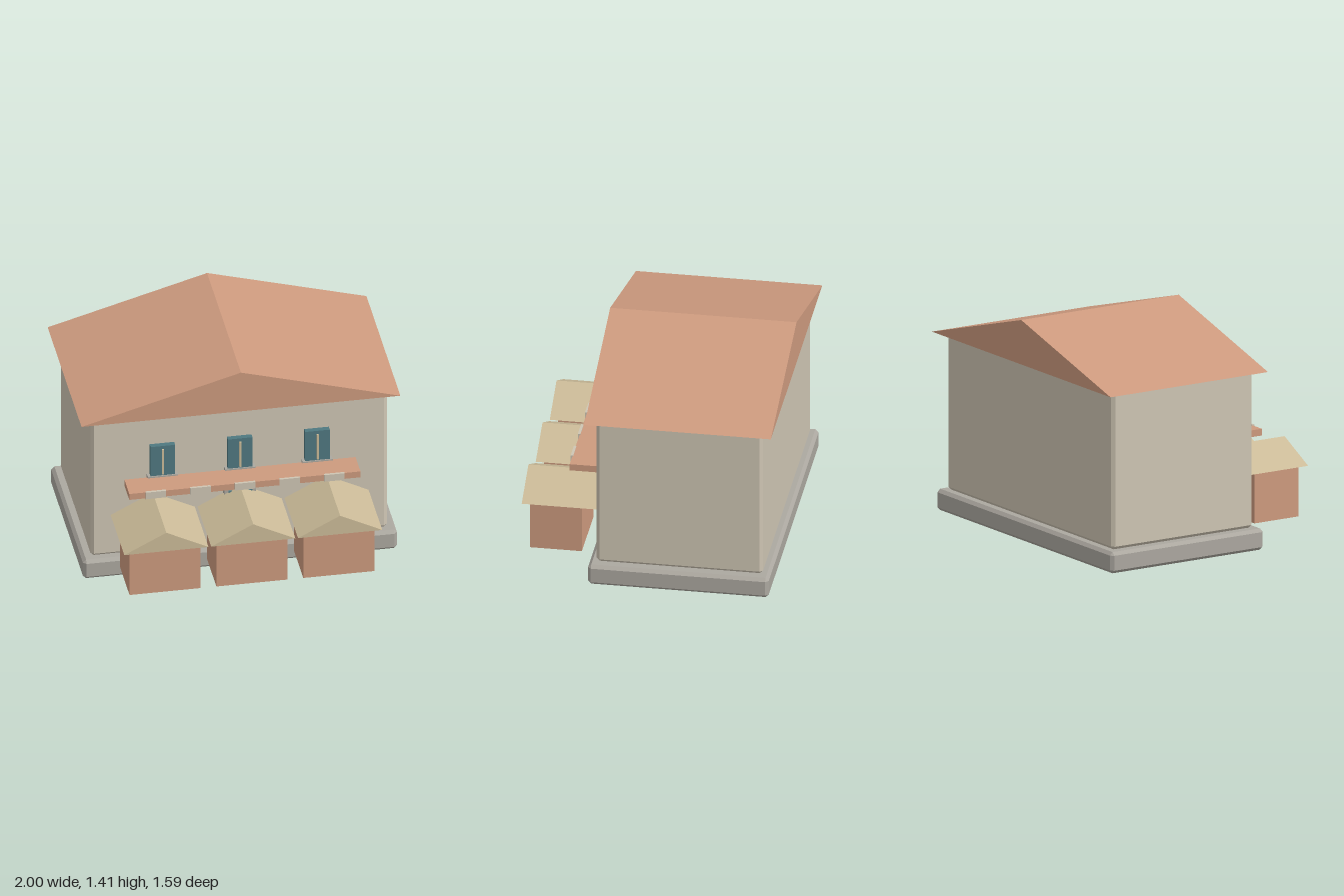
import * as THREE from 'three';
import { ConvexGeometry } from 'three/addons/geometries/ConvexGeometry.js';

const material = (name, color) => {
  const m = new THREE.MeshStandardMaterial({ color });
  m.name = name;
  return m;
};

// Box given by its low and high corner
function block(parent, name, mat, [x0, y0, z0], [x1, y1, z1]) {
  const mesh = new THREE.Mesh(new THREE.BoxGeometry(x1 - x0, y1 - y0, z1 - z0), mat);
  mesh.position.set((x0 + x1) / 2, (y0 + y1) / 2, (z0 + z1) / 2);
  mesh.name = name;
  parent.add(mesh);
  return mesh;
}

// Box with every edge cut at 45 degrees
function chamferedBlock(parent, name, mat, [x0, y0, z0], [x1, y1, z1], c) {
  const half = [(x1 - x0) / 2, (y1 - y0) / 2, (z1 - z0) / 2];
  const points = [];
  for (const sx of [-1, 1]) for (const sy of [-1, 1]) for (const sz of [-1, 1])
    for (let axis = 0; axis < 3; axis++) {
      const p = half.map((h, i) => (i === axis ? h : h - c));
      points.push(new THREE.Vector3(sx * p[0], sy * p[1], sz * p[2]));
    }
  const mesh = new THREE.Mesh(new ConvexGeometry(points), mat);
  mesh.position.set((x0 + x1) / 2, (y0 + y1) / 2, (z0 + z1) / 2);
  mesh.name = name;
  parent.add(mesh);
}

// Triangular prism with its ridge along z
function gableRoof(parent, name, mat, halfWidth, y0, y1, z0, z1) {
  const shape = new THREE.Shape();
  shape.moveTo(-halfWidth, y0);
  shape.lineTo(halfWidth, y0);
  shape.lineTo(0, y1);
  shape.closePath();
  const geo = new THREE.ExtrudeGeometry(shape, { depth: z1 - z0, bevelEnabled: false });
  geo.translate(0, 0, z0);
  const mesh = new THREE.Mesh(geo, mat);
  mesh.name = name;
  parent.add(mesh);
}

export function createModel() {
  const model = new THREE.Group();
  model.name = 'house';

  const plaster = material('plaster', 0xcec5b3);
  const stone = material('stone', 0xaca8a0);
  const terracotta = material('terracotta', 0xcd9a7e);
  const teal = material('teal', 0x4f7880);
  const straw = material('straw', 0xcbbb98);

  // Main building
  chamferedBlock(model, 'foundation', stone, [-0.985, 0, -0.775], [0.985, 0.135, 0.355], 0.02);
  chamferedBlock(model, 'walls', plaster, [-0.93, 0.135, -0.73], [0.93, 1.133, 0.31], 0.02);
  gableRoof(model, 'mainRoof', terracotta, 1, 1.132, 1.415, -0.793, 0.372);

  // Door with its surround and step
  const door = new THREE.Group();
  door.name = 'door';
  block(door, 'doorFrame', stone, [-0.1, 0.12, 0.3], [0.1, 0.585, 0.348]);
  block(door, 'doorPanel', teal, [-0.075, 0.165, 0.34], [0.075, 0.545, 0.357]);
  block(door, 'doorStep', stone, [-0.14, 0.085, 0.33], [0.14, 0.136, 0.447]);
  model.add(door);

  // Upper windows
  for (const x of [-0.485, 0, 0.485]) {
    const win = new THREE.Group();
    win.name = 'window';
    win.position.x = x;
    block(win, 'shutters', teal, [-0.077, 0.695, 0.3], [0.077, 0.917, 0.345]);
    block(win, 'mullion', straw, [-0.006, 0.715, 0.34], [0.006, 0.895, 0.356]);
    block(win, 'sill', stone, [-0.095, 0.678, 0.3], [0.095, 0.704, 0.352]);
    model.add(win);
  }

  // Long ledge with pale panels along its front
  block(model, 'ledge', terracotta, [-0.725, 0.652, 0.34], [0.725, 0.695, 0.508]);
  for (let i = -2; i <= 2; i++) {
    const x = i * 0.28;
    block(model, 'ledgePanel', plaster, [x - 0.064, 0.652, 0.503], [x + 0.064, 0.7, 0.519]);
  }

  // Three stalls in front
  for (const x of [-0.545, 0, 0.545]) {
    const stall = new THREE.Group();
    stall.name = 'stall';
    stall.position.x = x;
    block(stall, 'stallBody', terracotta, [-0.223, 0.113, 0.425], [0.223, 0.438, 0.75]);
    gableRoof(stall, 'stallRoof', straw, 0.264, 0.437, 0.571, 0.325, 0.795);
    model.add(stall);
  }

  return model;
}
